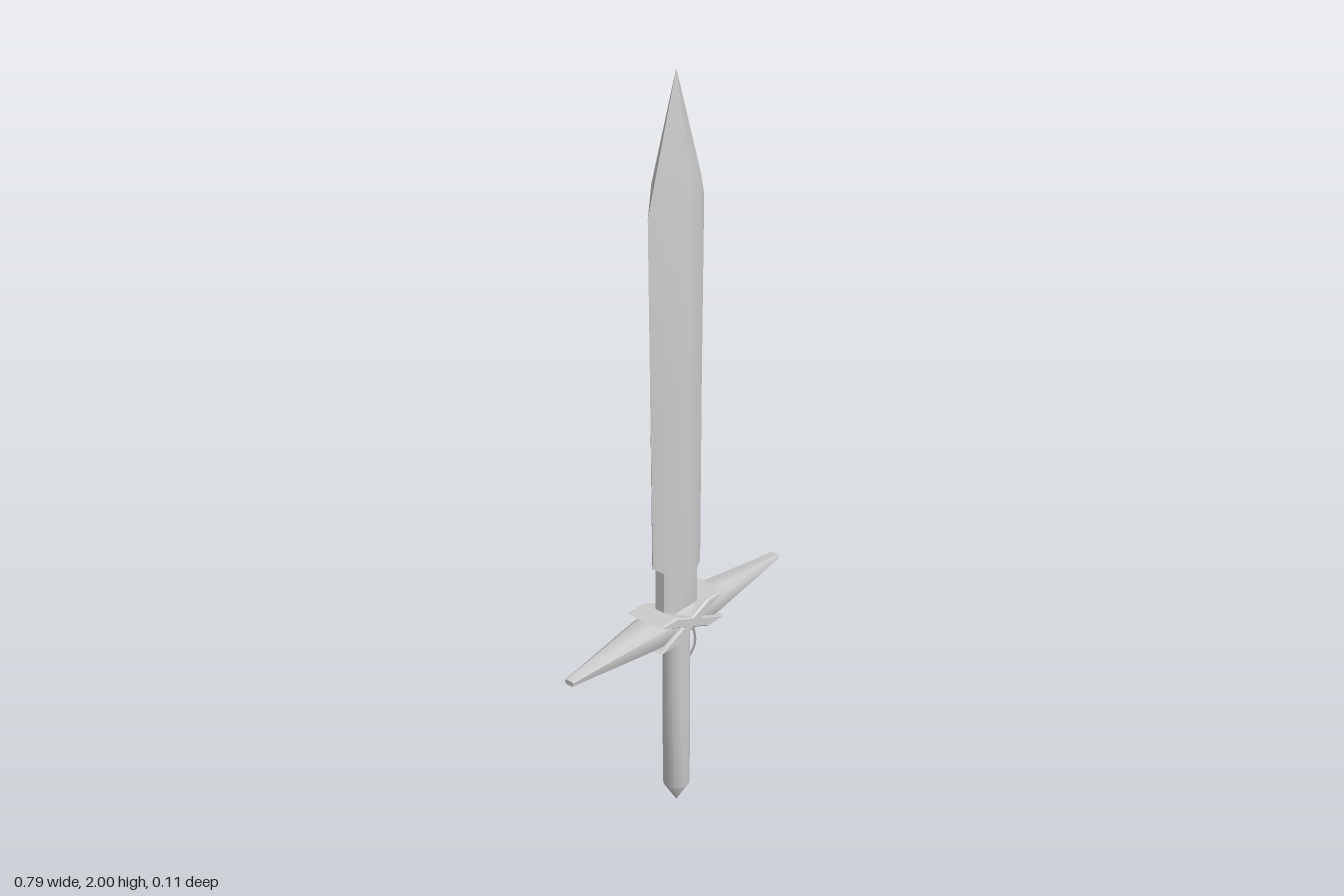
import * as THREE from 'three';
import { toCreasedNormals } from 'three/addons/utils/BufferGeometryUtils.js';

const material = new THREE.MeshStandardMaterial({ color: 0xcccccc });
const thinMaterial = new THREE.MeshStandardMaterial({ color: 0xcccccc, side: THREE.DoubleSide });

// Skin a stack of rings (each a list of [x, y, z], bottom to top) and cap both ends
function loft(rings, crease) {
  const n = rings[0].length;
  const positions = rings.flat(2);
  const index = [];
  for (let r = 0; r < rings.length - 1; r++) {
    for (let i = 0; i < n; i++) {
      const a = r * n + i, b = r * n + (i + 1) % n;
      index.push(a, a + n, b, b, a + n, b + n);
    }
  }
  [0, rings.length - 1].forEach((r, end) => {
    const centre = positions.length / 3;
    for (let k = 0; k < 3; k++) positions.push(rings[r].reduce((s, p) => s + p[k], 0) / n);
    for (let i = 0; i < n; i++) {
      const a = r * n + i, b = r * n + (i + 1) % n;
      if (end) index.push(centre, b, a);
      else index.push(centre, a, b);
    }
  });
  const geometry = new THREE.BufferGeometry();
  geometry.setAttribute('position', new THREE.Float32BufferAttribute(positions, 3));
  geometry.setIndex(index);
  return toCreasedNormals(geometry, crease);
}

export function createModel() {
  const model = new THREE.Group();
  const add = (name, geometry, mat = material) => {
    const mesh = new THREE.Mesh(geometry, mat);
    mesh.name = name;
    model.add(mesh);
    return mesh;
  };

  // Blade: lens section; heights differ at the cutting edge, mid facet and ridge
  const bladeRing = ([w, d, yEdge, yMid, yRidge]) => [
    [w, yEdge, 0], [w * 0.62, yMid, d * 0.7], [0, yRidge, d], [-w * 0.62, yMid, d * 0.7],
    [-w, yEdge, 0], [-w * 0.62, yMid, -d * 0.7], [0, yRidge, -d], [w * 0.62, yMid, -d * 0.7],
  ];
  add('blade', loft([
    [0.087, 0.045, 0.74, 0.715, 0.67],
    [0.094, 0.04, 1.2, 1.2, 1.2],
    [0.099, 0.031, 1.67, 1.74, 1.83],
    [0.001, 0.001, 2, 2, 2],
  ].map(bladeRing), 0.75));

  // Flat neck between guard and blade
  const neckRing = (y) => [[1, 0.5], [0.75, 1], [-0.75, 1], [-1, 0.5], [-1, -0.5], [-0.75, -1], [0.75, -1], [1, -0.5]]
    .map(([x, z]) => [x * 0.062, y, z * 0.028]);
  add('bladeNeck', loft([neckRing(0.58), neckRing(0.76)], 0.8));

  // Crossguard: squarish section tapering to blunt tips, lofted then laid along x
  const guardRing = ([t, h, d]) => [[1, 0.6], [0.6, 1], [-0.6, 1], [-1, 0.6], [-1, -0.6], [-0.6, -1], [0.6, -1], [1, -0.6]]
    .map(([x, z]) => [x * h, t, z * d]);
  const guard = add('crossguard', loft([
    [-0.393, 0.007, 0.013], [-0.11, 0.036, 0.043], [0, 0.037, 0.046],
    [0.11, 0.036, 0.043], [0.393, 0.007, 0.013],
  ].map(guardRing), 0.9));
  guard.rotation.z = -Math.PI / 2;
  guard.position.y = 0.563;

  // Two crossed straps bound around the guard
  for (const side of [1, -1]) {
    const strap = new THREE.Shape([
      [-0.115, 0.605], [-0.062, 0.605], [0.115, 0.532], [0.062, 0.532],
    ].map(([x, y]) => new THREE.Vector2(x * side, y)));
    const geometry = new THREE.ExtrudeGeometry(strap, {
      depth: 0.102, bevelEnabled: true, bevelThickness: 0.005, bevelSize: 0.004, bevelSegments: 1,
    });
    geometry.translate(0, 0, -0.051);
    add(side > 0 ? 'strapFalling' : 'strapRising', geometry);
  }

  // Grip with a pointed pommel
  const gripProfile = [[0, 0.003], [0.035, 0.06], [0.036, 0.3], [0.035, 0.55]];
  const grip = new THREE.LatheGeometry(gripProfile.map(([r, y]) => new THREE.Vector2(r, y)), 12);
  add('grip', toCreasedNormals(grip, 0.7));

  // Loose strap ends: thin ribbons hanging beside the grip
  const ribbons = [
    [[0.062, 0.54, -0.012], [0.059, 0.47, 0.012], [0.052, 0.4, -0.008], [0.045, 0.32, -0.022]],
    [[0.066, 0.54, -0.002], [0.063, 0.49, -0.015], [0.058, 0.44, -0.018], [0.05, 0.37, -0.014]],
  ];
  ribbons.forEach((points, k) => {
    const path = new THREE.CatmullRomCurve3(points.map((p) => new THREE.Vector3(...p)));
    const geometry = new THREE.PlaneGeometry(1, 1, 1, 16);
    const pos = geometry.attributes.position;
    for (let i = 0; i < pos.count; i++) {
      const t = 0.5 - pos.getY(i);
      const p = path.getPoint(t);
      pos.setXYZ(i, p.x, p.y, p.z - pos.getX(i) * 0.011 * (1 - 0.7 * t));
    }
    geometry.computeVertexNormals();
    add(k ? 'shortRibbon' : 'longRibbon', geometry, thinMaterial);
  });

  return model;
}
